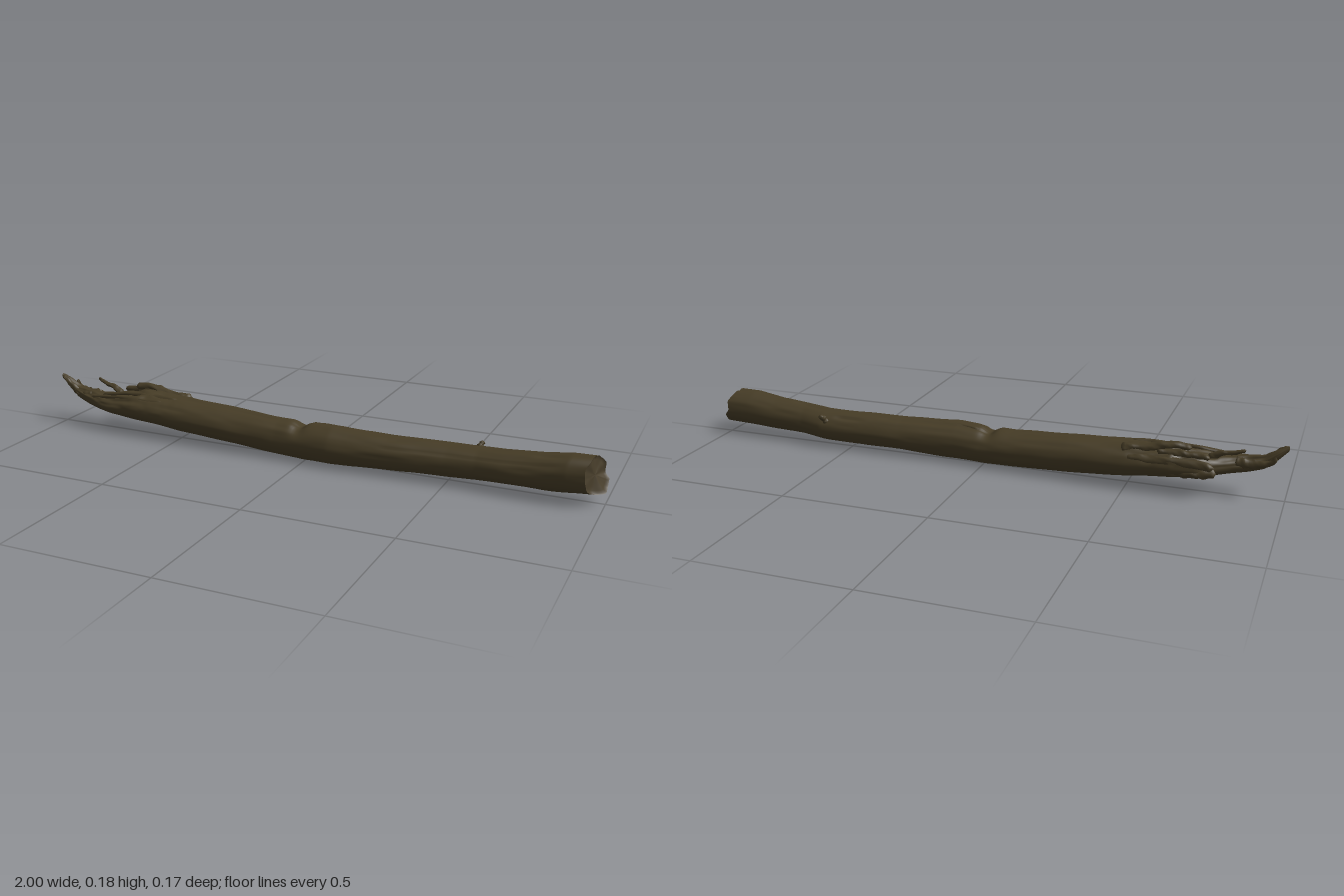
import * as THREE from 'three';

// x, bottom, top, back z, front z of the log
const SECTIONS = [
  [-1.0, 0.172, 0.188, -0.004, 0.012], [-0.97, 0.14, 0.175, -0.012, 0.016],
  [-0.93, 0.105, 0.15, -0.016, 0.024], [-0.88, 0.088, 0.14, -0.02, 0.036],
  [-0.83, 0.077, 0.138, -0.03, 0.052], [-0.78, 0.067, 0.138, -0.05, 0.06],
  [-0.73, 0.06, 0.146, -0.076, 0.063], [-0.65, 0.05, 0.158, -0.086, 0.068],
  [-0.5, 0.035, 0.155, -0.084, 0.07], [-0.3, 0.02, 0.146, -0.075, 0.069],
  [-0.1, 0.009, 0.134, -0.063, 0.072], [0, 0.006, 0.134, -0.055, 0.079],
  [0.1, 0.009, 0.139, -0.051, 0.084], [0.3, 0.018, 0.131, -0.052, 0.077],
  [0.5, 0.021, 0.133, -0.058, 0.066], [0.6, 0.026, 0.135, -0.06, 0.065],
  [0.68, 0.03, 0.139, -0.047, 0.071], [0.8, 0.033, 0.15, -0.042, 0.075],
  [0.9, 0.038, 0.164, -0.038, 0.077], [0.97, 0.042, 0.165, -0.036, 0.074],
];
const SIDES = 64, STEPS = 260, X0 = -1, X1 = 0.97;
const { smoothstep, lerp } = THREE.MathUtils;

function sectionAt(x) {
  let k = 0;
  while (k < SECTIONS.length - 2 && SECTIONS[k + 1][0] < x) k++;
  const a = SECTIONS[k], b = SECTIONS[k + 1];
  const t = (x - a[0]) / (b[0] - a[0]);
  return a.map((v, i) => lerp(v, b[i], t));
}

// smooth value noise, repeating every `period` cells in u
function hash(i, j) {
  const s = Math.sin(i * 127.1 + j * 311.7) * 43758.5453;
  return s - Math.floor(s);
}
function noise(u, v, period) {
  const i = Math.floor(u), j = Math.floor(v);
  const f = smoothstep(u - i, 0, 1), g = smoothstep(v - j, 0, 1);
  const w = n => ((n % period) + period) % period;
  return lerp(lerp(hash(w(i), j), hash(w(i + 1), j), f),
    lerp(hash(w(i), j + 1), hash(w(i + 1), j + 1), f), g) * 2 - 1;
}

// point on the log surface
function surface(x, a) {
  const [, lo, hi, back, front] = sectionAt(x);
  const u = a / (Math.PI * 2), up = Math.max(0, Math.sin(a));
  const size = Math.min(1, (hi - lo) / 0.1);
  // long bark ridges, finer grain and the torn upper side
  let d = 0.0022 * noise(u * 9, x * 7, 9) + 0.0012 * noise(u * 28, x * 12 + 40, 28);
  d -= 0.004 * up * smoothstep(noise(u * 22, x * 6 + 90, 22), 0.35, 0.8);
  const torn = (1 - smoothstep(x, -0.7, -0.42)) * Math.sqrt(up);
  d += torn * (0.007 * noise(u * 20, x * 16 + 7, 20) + 0.004 * noise(u * 32, x * 40, 32));
  // bark step and notch near the middle
  d -= 0.02 * Math.exp(-(((x + 0.02) / 0.022) ** 2)) * up ** 3;
  d *= size;
  const y = (lo + hi) / 2 + ((hi - lo) / 2 + d) * Math.sin(a);
  const z = (back + front) / 2 + ((front - back) / 2 + d) * Math.cos(a);
  // skewed, ragged cut at the thick end
  const cut = smoothstep(x, 0.82, X1);
  const lip = 0.03 * (1 - smoothstep(y, 0.06, 0.1)) * smoothstep(-z, -0.06, 0);
  const sx = x + cut * (-0.4 * (z - 0.02) + lip + 0.005 * noise(u * 14, 3, 14) - 0.006);
  return [Math.min(sx, 1), y, z];
}

// surface from closed rings of points
function loft(rings) {
  const n = rings[0].length, index = [];
  for (let i = 0; i < rings.length - 1; i++) {
    for (let j = 0; j < n; j++) {
      const a = i * n + j, b = i * n + (j + 1) % n;
      index.push(a, a + n, b + n, a, b + n, b);
    }
  }
  const g = new THREE.BufferGeometry();
  g.setAttribute('position', new THREE.Float32BufferAttribute(rings.flat(2), 3));
  g.setIndex(index);
  g.computeVertexNormals();
  return g;
}

// curved splinter with closed ends; r0 and r1 are its thicknesses, flat squashes it in z
function splinter(points, r0, r1, flat = 1) {
  const curve = new THREE.CatmullRomCurve3(points.map(p => new THREE.Vector3(...p)));
  const segs = 24, radial = 10;
  const g = new THREE.TubeGeometry(curve, segs, 1, radial);
  const p = g.attributes.position, v = new THREE.Vector3();
  for (let i = 0; i <= segs; i++) {
    const t = i / segs, c = curve.getPointAt(t);
    const end = i === 0 || i === segs ? 0.01 : 1;
    for (let j = 0; j <= radial; j++) {
      const k = i * (radial + 1) + j;
      const r = lerp(r0, r1, t) * end * (1 + 0.3 * noise(j % radial, i * 0.4 + r0 * 999, radial));
      v.fromBufferAttribute(p, k).sub(c).multiplyScalar(r);
      v.z *= flat;
      v.add(c);
      p.setXYZ(k, v.x, v.y, v.z);
    }
  }
  g.computeVertexNormals();
  return g;
}

export function createModel() {
  const bark = new THREE.MeshStandardMaterial({ color: 0x463c26 });
  bark.name = 'bark';
  const wood = new THREE.MeshStandardMaterial({ color: 0x483e2b });
  wood.name = 'cut wood';
  const group = new THREE.Group();
  group.name = 'fallenBranch';
  const add = (name, geometry, material = bark) => {
    const mesh = new THREE.Mesh(geometry, material);
    mesh.name = name;
    group.add(mesh);
  };

  // main log
  const rings = [];
  for (let i = 0; i <= STEPS; i++) {
    const x = lerp(X0, X1, i / STEPS), ring = [];
    for (let j = 0; j < SIDES; j++) ring.push(surface(x, j / SIDES * Math.PI * 2));
    rings.push(ring);
  }
  add('log', loft(rings));

  // uneven end face, sunk slightly inside its rim
  const rim = rings[STEPS];
  const mid = [0, 1, 2].map(k => rim.reduce((s, p) => s + p[k], 0) / SIDES);
  const cap = [1, 0.93, 0.8, 0.6, 0.4, 0.2, 0.001].map((s, i) => rim.map((p, j) => {
    const q = p.map((v, k) => lerp(mid[k], v, s));
    if (i) q[0] += -0.006 + 0.004 * s * noise(j / SIDES * 12, i * 0.8, 12);
    return q;
  }));
  add('cutEnd', loft(cap), wood);

  // closed tip of the torn end
  const tip = rings[0];
  add('tornTip', loft([tip.map(() => [-1, 0.18, 0.004]), tip]));

  // splinters of the torn end
  const splinters = [
    [[[-0.84, 0.12, -0.01], [-0.91, 0.125, -0.02], [-0.955, 0.14, -0.03], [-0.965, 0.16, -0.036]], 0.02, 0.006, 0.8],
    [[[-0.86, 0.115, 0.02], [-0.92, 0.125, 0.014], [-0.96, 0.155, 0.016], [-0.995, 0.184, 0.014]], 0.02, 0.006, 0.8],
    [[[-0.76, 0.13, -0.02], [-0.8, 0.152, -0.03], [-0.84, 0.16, -0.035], [-0.875, 0.174, -0.042]], 0.012, 0.004, 1],
    [[[-0.785, 0.115, -0.077], [-0.72, 0.12, -0.076], [-0.62, 0.12, -0.074], [-0.5, 0.115, -0.07]], 0.013, 0.012, 0.8],
    [[[-0.79, 0.09, -0.058], [-0.72, 0.085, -0.066], [-0.6, 0.08, -0.066]], 0.016, 0.012, 0.8],
    [[[-0.71, 0.16, -0.04], [-0.65, 0.168, -0.045], [-0.58, 0.152, -0.045], [-0.48, 0.14, -0.045]], 0.01, 0.014, 1.3],
    [[[-0.77, 0.14, -0.06], [-0.7, 0.146, -0.058], [-0.6, 0.142, -0.055]], 0.009, 0.012, 1],
    [[[-0.82, 0.132, 0.02], [-0.7, 0.148, 0.012], [-0.5, 0.147, 0.01]], 0.007, 0.008, 1],
    [[[-0.86, 0.125, 0.035], [-0.72, 0.138, 0.038], [-0.55, 0.138, 0.037]], 0.006, 0.008, 1],
  ];
  splinters.forEach(([points, r0, r1, flat], i) =>
    add('splinter' + (i + 1), splinter(points, r0, r1, flat)));

  // raised bark edge beside the notch
  add('barkRidge', splinter([[0.01, 0.125, -0.005], [0.08, 0.132, 0.005],
    [0.18, 0.13, 0.012], [0.3, 0.122, 0.012]], 0.008, 0.005, 1.4));

  // twig stub on the back
  add('twigStub', splinter([[0.58, 0.1, -0.04], [0.585, 0.118, -0.056],
    [0.59, 0.129, -0.068]], 0.013, 0.007));
  return group;
}
